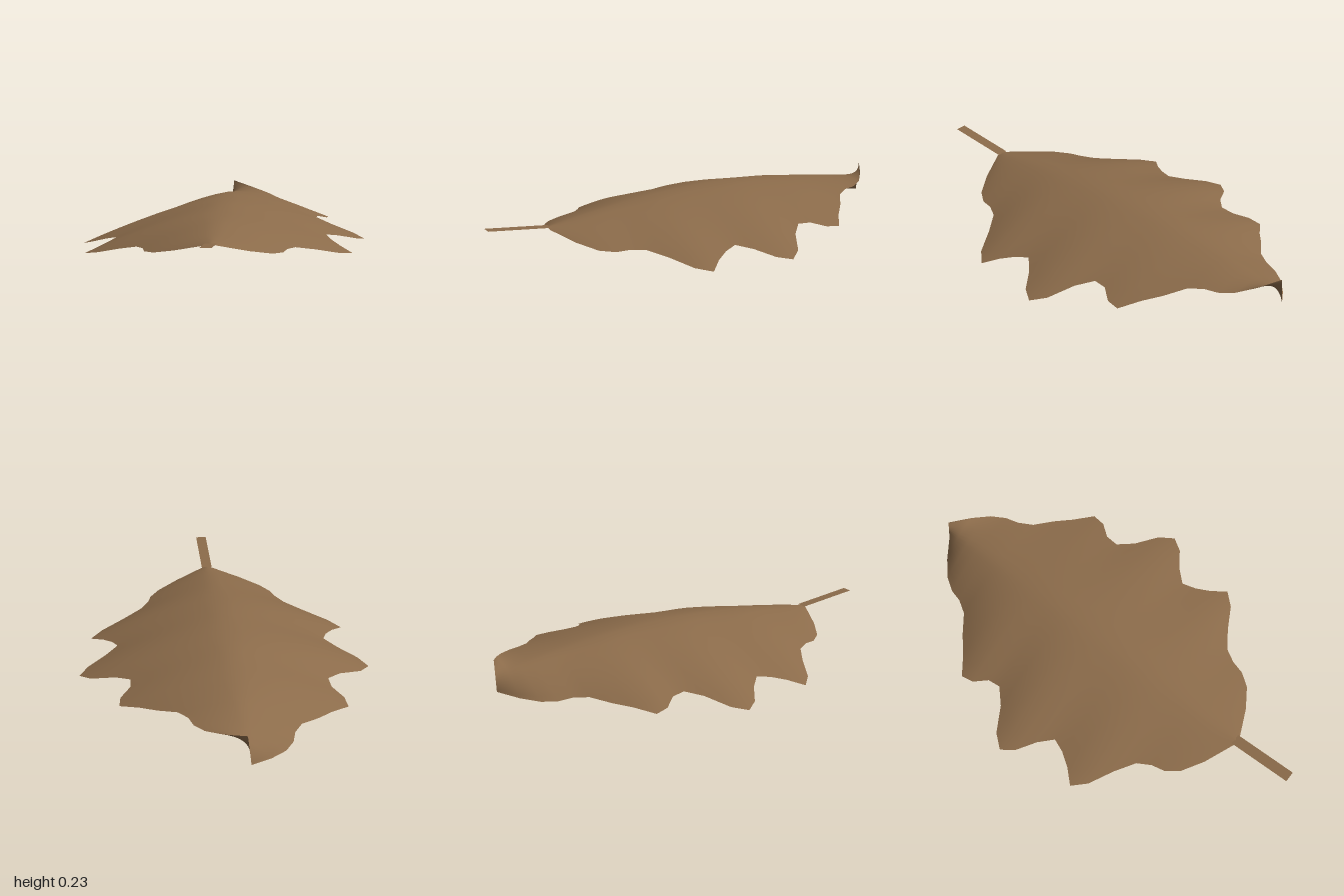
import * as THREE from 'three';

// Half widths of the blade from its base (z = 0.71) to its tip (z = -1), evenly spaced
const HALF_WIDTHS = [
  0.025, 0.16, 0.255, 0.3, 0.315, 0.35, 0.44, 0.55, 0.607, 0.55,
  0.51, 0.487, 0.545, 0.63, 0.67, 0.62, 0.51, 0.445, 0.45, 0.497,
  0.505, 0.42, 0.35, 0.265, 0.227, 0.21, 0.17, 0.1, 0.008,
];
const BASE_Z = 0.71, TIP_Z = -1, BASE_Y = 0.14;

// Grid of quads facing up; point(s, t) has s from -1 to 1 across and t from 0 to 1 along
function sheet(cols, rows, point) {
  const positions = [], index = [];
  for (let r = 0; r <= rows; r++) {
    for (let c = 0; c <= cols; c++) positions.push(...point((2 * c) / cols - 1, r / rows, r));
  }
  for (let r = 0; r < rows; r++) {
    for (let c = 0; c < cols; c++) {
      const a = r * (cols + 1) + c, b = a + cols + 1;
      index.push(a, a + 1, b, a + 1, b + 1, b);
    }
  }
  const geometry = new THREE.BufferGeometry();
  geometry.setAttribute('position', new THREE.Float32BufferAttribute(positions, 3));
  geometry.setIndex(index);
  geometry.computeVertexNormals();
  return geometry;
}

export function createModel() {
  const leafBrown = new THREE.MeshStandardMaterial({ color: 0x8b6b4a, side: THREE.DoubleSide });
  leafBrown.name = 'leafBrown';

  const group = new THREE.Group();
  group.name = 'leaf';

  // Blade: arched midrib, drooping lobes, and a twist that grows toward the tip
  const blade = new THREE.Mesh(sheet(16, HALF_WIDTHS.length - 1, (s, t, row) => {
    const w = HALF_WIDTHS[row];
    const arch = BASE_Y + 0.085 * Math.sin(Math.PI * t);
    const droop = 0.31 * w * Math.abs(s) ** 1.4;
    return [s * w, arch - droop + 0.07 * s * t * t, BASE_Z + (TIP_Z - BASE_Z) * t];
  }), leafBrown);
  blade.name = 'blade';
  group.add(blade);

  // Stem: flat strip rising slightly away from the blade
  const stem = new THREE.Mesh(sheet(1, 1, (s, t) =>
    [s * 0.025, 0.17 - 0.03 * t, 1 - 0.3 * t]), leafBrown);
  stem.name = 'stem';
  group.add(stem);

  return group;
}
